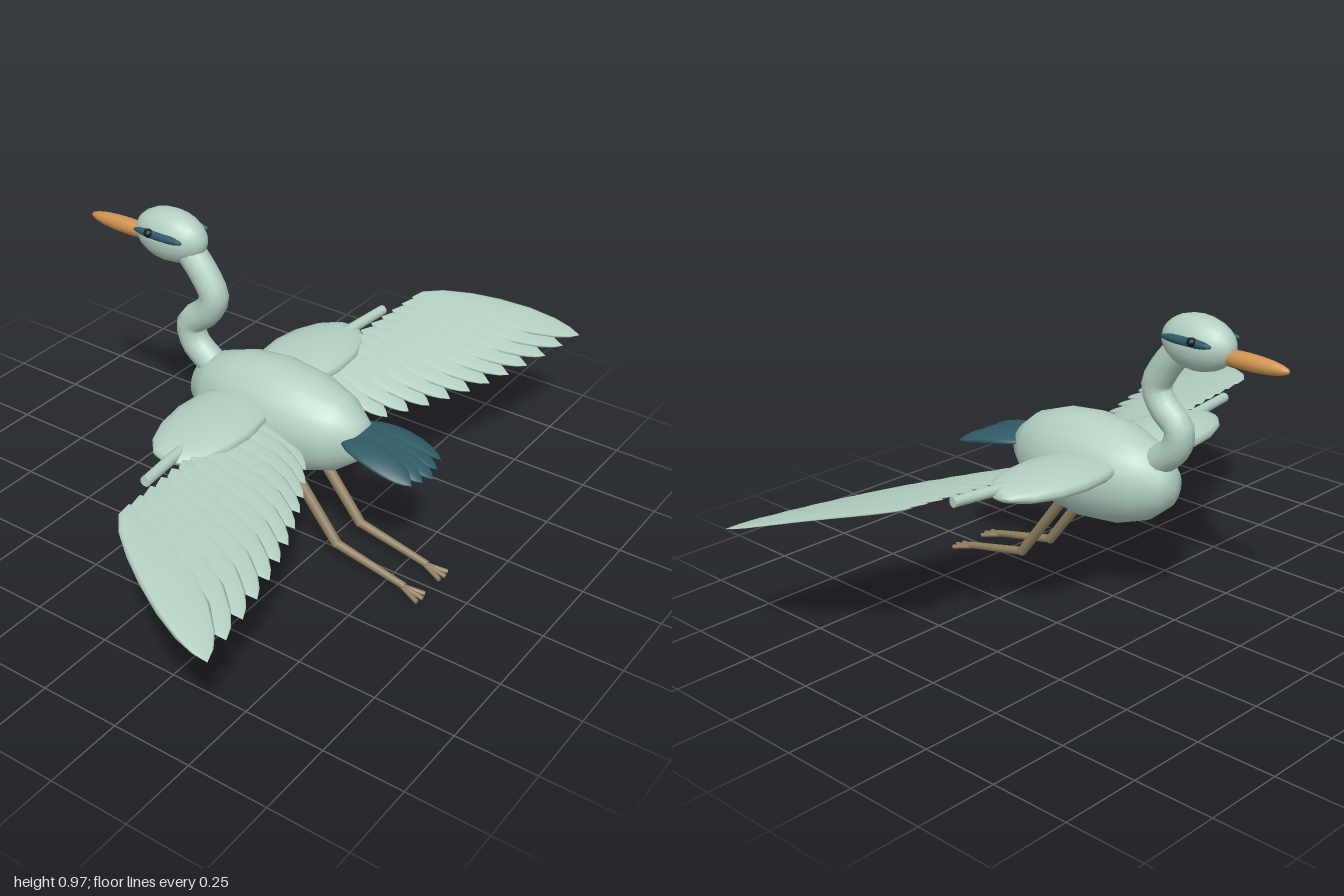
import * as THREE from 'three';

const mat = (color) => new THREE.MeshStandardMaterial({ color });
const V = (x, y, z) => new THREE.Vector3(x, y, z);

export function createModel() {
  const bird = new THREE.Group();
  bird.name = 'wadingBird';
  const plumage = mat(0xb3d0c2), teal = mat(0x2f5a66), orange = mat(0xd0924f);
  const horn = mat(0x8f7f60), black = mat(0x10191b);

  const add = (name, geometry, material, parent = bird) => {
    const mesh = new THREE.Mesh(geometry, material);
    mesh.name = name;
    parent.add(mesh);
    return mesh;
  };

  // Ellipsoid with its poles along the z or x axis
  const ellipsoid = (name, material, pos, radii, ws, hs, parent, pole = 'z') => {
    const g = new THREE.SphereGeometry(1, ws, hs);
    if (pole === 'z') g.rotateX(Math.PI / 2);
    else g.rotateZ(Math.PI / 2);
    g.scale(...radii);
    const mesh = add(name, g, material, parent);
    mesh.position.set(...pos);
    return mesh;
  };

  // Tapered rod between two points
  const rod = (name, material, a, b, ra, rb, parent) => {
    const mesh = add(name, new THREE.CylinderGeometry(rb, ra, a.distanceTo(b), 10), material, parent);
    mesh.position.copy(a).lerp(b, 0.5);
    mesh.quaternion.setFromUnitVectors(V(0, 1, 0), b.clone().sub(a).normalize());
    return mesh;
  };

  // Flat pointed feather with a slight camber, running from root to tip
  const outline = [[0, 0], [0.5, 0.06], [0.82, 0.18], [0.98, 0.35], [1, 0.52], [0.9, 0.7], [0.66, 0.85], [0.36, 0.94], [0, 1]]
    .map(([r, t]) => new THREE.Vector2(r, t));
  const feather = (name, material, root, tip, width, thick, camber, roll, parent) => {
    const g = new THREE.LatheGeometry(outline, 12);
    g.rotateX(Math.PI / 2);
    g.scale(width, thick, root.distanceTo(tip));
    const p = g.attributes.position, len = root.distanceTo(tip);
    for (let i = 0; i < p.count; i++) {
      const t = p.getZ(i) / len;
      p.setY(i, p.getY(i) + 4 * camber * t * (1 - t));
    }
    g.computeVertexNormals();
    const mesh = add(name, g, material, parent);
    mesh.position.copy(root);
    mesh.lookAt(tip);
    mesh.rotateZ(roll);
    return mesh;
  };

  // Body, neck, head and beak
  ellipsoid('body', plumage, [0, 0.425, 0.073], [0.148, 0.168, 0.32], 24, 8);
  const neckPath = new THREE.CatmullRomCurve3([
    V(0, 0.5, -0.18), V(0, 0.555, -0.245), V(0, 0.615, -0.258), V(0, 0.675, -0.195),
    V(0, 0.73, -0.17), V(0, 0.79, -0.2), V(0, 0.85, -0.25), V(0, 0.89, -0.29),
  ]);
  add('neck', new THREE.TubeGeometry(neckPath, 20, 0.046, 12), plumage).material.side = THREE.DoubleSide;
  ellipsoid('head', plumage, [0, 0.893, -0.325], [0.072, 0.083, 0.125], 20, 12);
  ellipsoid('beak', orange, [0, 0.872, -0.495], [0.025, 0.026, 0.145], 14, 10);

  // Tail fan
  const tail = new THREE.Group();
  tail.name = 'tail';
  bird.add(tail);
  for (let i = -2; i <= 2; i++) {
    const k = Math.abs(i);
    feather('tailFeather', teal, V(i * 0.025, 0.46 - k * 0.006, 0.33), V(i * 0.041, 0.388 + k * 0.006, 0.612 - k * 0.012),
      0.045, 0.013, 0.018, -i * 0.12, tail);
  }

  for (const s of [1, -1]) {
    const side = s > 0 ? 'left' : 'right';

    // Eye and dark stripe behind it
    ellipsoid(side + 'EyeStripe', teal, [s * 0.064, 0.91, -0.328], [0.012, 0.015, 0.092], 10, 8);
    ellipsoid(side + 'Eye', black, [s * 0.072, 0.915, -0.356], [0.014, 0.014, 0.014], 12, 8);

    // Wing: shoulder, bone and a fan of flight feathers
    const wing = new THREE.Group();
    wing.name = side + 'Wing';
    bird.add(wing);
    const shoulder = ellipsoid('shoulder', plumage, [s * 0.24, 0.474, 0.006], [0.24, 0.04, 0.133], 16, 8, wing, 'x');
    shoulder.rotation.y = -s * 0.04;
    rod('wingBone', plumage, V(s * 0.25, 0.48, 0.01), V(s * 0.605, 0.49, 0.052), 0.018, 0.016, wing);
    const count = 12;
    for (let i = 0; i < count; i++) {
      const t = i / (count - 1);
      const root = V(s * (0.14 + 0.58 * t), 0.472 + 0.026 * t, 0.03 + 0.06 * t);
      const tip = V(s * (0.16 + 0.63 * t + 0.21 * t * t), 0.375 + 0.012 * t, 0.28 + 0.45 * t - 0.16 * t * t);
      feather('flightFeather', plumage, root, tip, 0.048 + 0.034 * t, 0.008, 0.015, s * 0.13, wing);
    }

    // Leg trailing backwards, with three toes
    const leg = new THREE.Group();
    leg.name = side + 'Leg';
    bird.add(leg);
    const x = s * 0.065, knee = V(x, 0.077, 0.332), ankle = V(x, 0.026, 0.575);
    rod('thigh', horn, V(x, 0.3, 0.153), knee, 0.018, 0.016, leg);
    ellipsoid('knee', horn, knee.toArray(), [0.016, 0.016, 0.016], 10, 8, leg);
    rod('shank', horn, knee, ankle, 0.014, 0.011, leg);
    for (const d of [-1, 0, 1]) {
      rod('toe', horn, V(x, 0.024, 0.563), V(x + d * 0.024, 0.01, d ? 0.632 : 0.638), 0.008, 0.007, leg);
    }
  }
  return bird;
}
